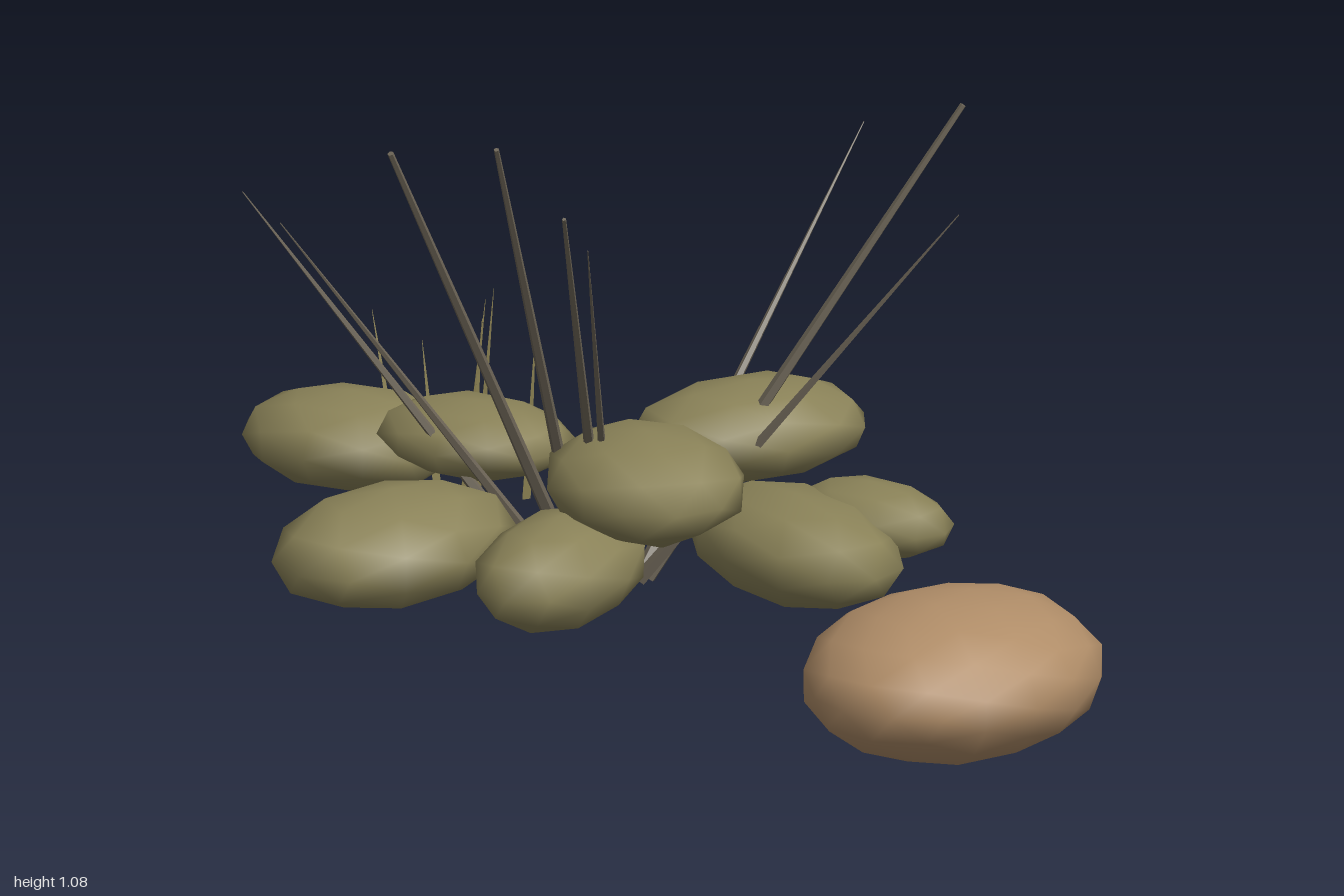
import * as THREE from 'three';
import { mergeVertices } from 'three/addons/utils/BufferGeometryUtils.js';

const material = (name, color, side = THREE.FrontSide) =>
  Object.assign(new THREE.MeshStandardMaterial({ color, side }), { name });

// Smooth low-poly ellipsoid, with vertices nudged in and out a little
function blob(name, mat, [x, y, z], [rx, ry, rz], turn, detail, bump) {
  let g = new THREE.IcosahedronGeometry(1, detail);
  g.deleteAttribute('uv');
  g.deleteAttribute('normal');
  g = mergeVertices(g, 1e-3);
  const p = g.attributes.position;
  const v = new THREE.Vector3();
  for (let i = 0; i < p.count; i++) {
    v.fromBufferAttribute(p, i).multiplyScalar(1 + bump * Math.sin(i * 2.7 + x * 9));
    p.setXYZ(i, v.x * rx, v.y * ry, v.z * rz);
  }
  g.computeVertexNormals();
  const mesh = new THREE.Mesh(g, mat);
  mesh.name = name;
  mesh.position.set(x, y, z);
  mesh.rotation.y = THREE.MathUtils.degToRad(turn);
  return mesh;
}

// Tapered flat-sided stick between two points
function stick(name, mat, from, to, r0, r1, sides) {
  const a = new THREE.Vector3(...from);
  const b = new THREE.Vector3(...to);
  let g = new THREE.CylinderGeometry(r1, r0, a.distanceTo(b), sides).toNonIndexed();
  g.computeVertexNormals();
  const mesh = new THREE.Mesh(g, mat);
  mesh.name = name;
  mesh.position.copy(a).add(b).multiplyScalar(0.5);
  mesh.quaternion.setFromUnitVectors(new THREE.Vector3(0, 1, 0), b.sub(a).normalize());
  return mesh;
}

export function createModel() {
  const model = new THREE.Group();
  model.name = 'shrubWithRock';
  const leaf = material('olive foliage', 0x8a8258);
  const wood = material('grey brown wood', 0x6c6456);
  const stone = material('tan stone', 0xb08d68);
  const straw = material('dry grass', 0x8a8052, THREE.DoubleSide);

  // Foliage pads: centre, radii, turn in degrees
  const foliage = new THREE.Group();
  foliage.name = 'foliage';
  [
    [[-0.75, 0.26, -0.06], [0.21, 0.09, 0.165], 0],
    [[-0.475, 0.31, -0.04], [0.19, 0.07, 0.145], 0],
    [[-0.375, 0.245, 0.42], [0.265, 0.105, 0.18], 80],
    [[-0.08, 0.22, 0.33], [0.225, 0.1, 0.14], 95],
    [[0.005, 0.355, 0.17], [0.23, 0.1, 0.18], -45],
    [[0.235, 0.235, 0.03], [0.26, 0.1, 0.155], -25],
    [[0.325, 0.27, -0.085], [0.165, 0.07, 0.112], -5],
    [[-0.045, 0.33, -0.285], [0.225, 0.09, 0.165], 55],
  ].forEach(([c, r, t]) => foliage.add(blob('foliagePad', leaf, c, r, t, 1, 0.02)));

  // Branches: base x and z, tip, base and tip radius
  const branches = new THREE.Group();
  branches.name = 'branches';
  [
    [-0.225, 0.01, [-0.265, 1.05, 0.615], 0.015, 0.006],
    [-0.215, 0.01, [-0.055, 1.085, 0.595], 0.015, 0.005],
    [-0.18, 0, [0.06, 0.96, 0.55], 0.014, 0.004],
    [-0.165, 0, [0.08, 0.89, 0.5], 0.012, 0.001],
    [-0.17, -0.11, [-0.045, 0.8, -0.685], 0.014, 0.001],
    [-0.15, -0.1, [0.305, 0.95, -0.445], 0.015, 0.006],
    [-0.155, -0.08, [0.385, 0.795, -0.295], 0.014, 0.001],
    [-0.255, 0.01, [-0.558, 0.845, 0.51], 0.014, 0.001],
    [-0.295, 0.01, [-0.83, 0.775, 0.185], 0.014, 0.001],
  ].forEach(([x, z, tip, r0, r1]) =>
    branches.add(stick('branch', wood, [x, 0.08, z], tip, r0, r1, 5)));

  // Grass tuft: base x and z, tip
  const grass = new THREE.Group();
  grass.name = 'grassTuft';
  [
    [-0.945, -0.565, [-0.998, 0.33, -0.555]],
    [-0.885, -0.59, [-0.908, 0.28, -0.58]],
    [-0.835, -0.605, [-0.79, 0.37, -0.605]],
    [-0.805, -0.595, [-0.758, 0.4, -0.58]],
    [-0.82, -0.6, [-0.8, 0.33, -0.61]],
    [-0.71, -0.61, [-0.685, 0.33, -0.605]],
  ].forEach(([x, z, tip]) =>
    grass.add(stick('grassBlade', straw, [x, 0.005, z], tip, 0.01, 0.0005, 3)));

  const rock = blob('rock', stone, [0.735, 0.149, 0.315], [0.31, 0.147, 0.26], 90, 2, 0.012);
  model.add(foliage, branches, grass, rock);
  return model;
}
